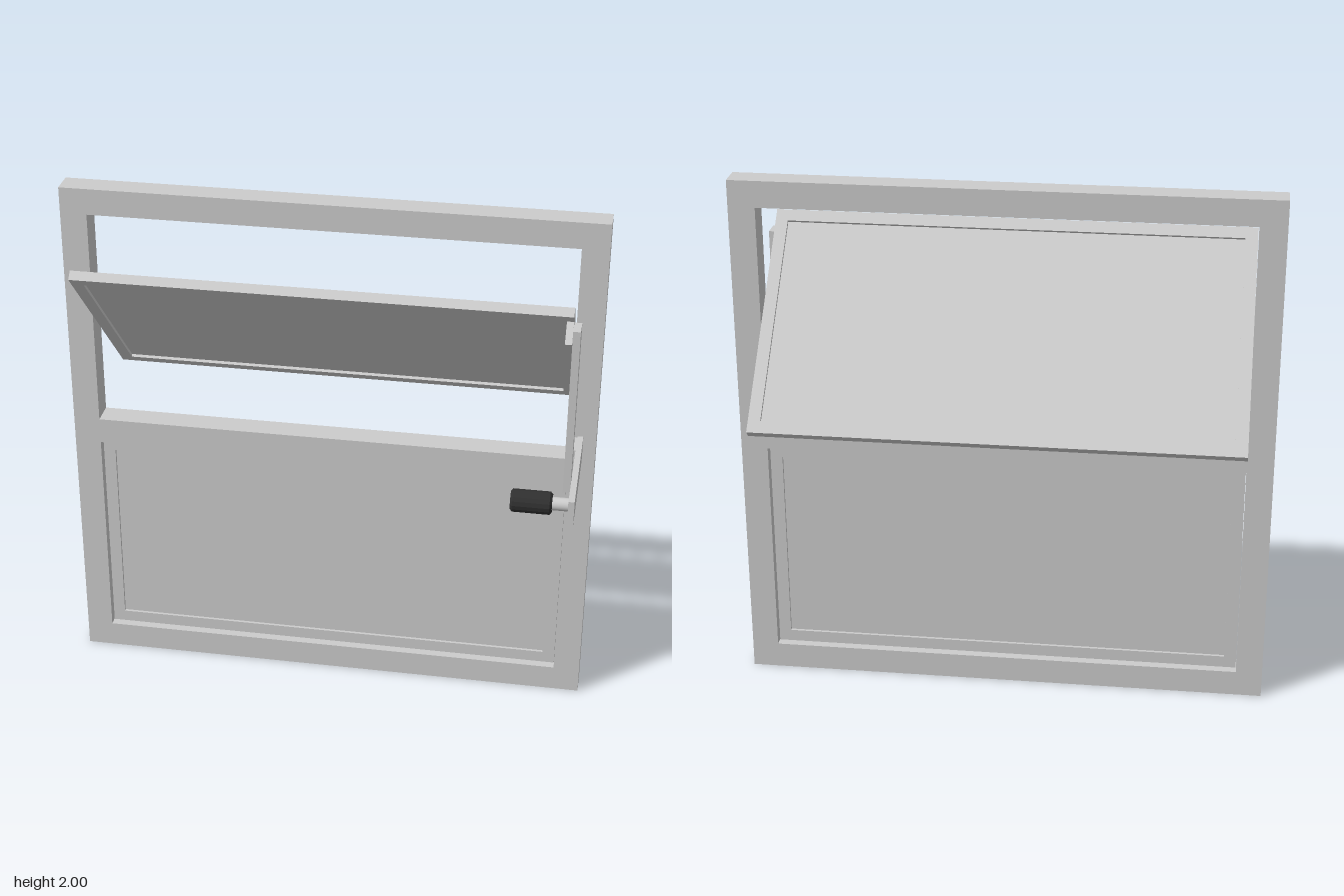
import * as THREE from 'three';

const FRAME_Z = -0.093; // middle plane of the fixed frame
const SASH_T = 0.036;

function rectHole(x0, y0, x1, y1) {
  const p = new THREE.Path();
  p.moveTo(x0, y0).lineTo(x0, y1).lineTo(x1, y1).lineTo(x1, y0).closePath();
  return p;
}

// Flat plate with rectangular openings, centred on z = 0
function framePlate(x0, y0, x1, y1, holes, depth) {
  const s = new THREE.Shape();
  s.moveTo(x0, y0).lineTo(x1, y0).lineTo(x1, y1).lineTo(x0, y1).closePath();
  s.holes = holes.map((h) => rectHole(...h));
  return new THREE.ExtrudeGeometry(s, { depth, bevelEnabled: false }).translate(0, 0, -depth / 2);
}

export function createModel() {
  const model = new THREE.Group();
  model.name = 'window';

  const grey = new THREE.MeshStandardMaterial({ color: 0xcccccc });
  grey.name = 'light grey';
  const black = new THREE.MeshStandardMaterial({ color: 0x303030, flatShading: true });
  black.name = 'black rubber';

  const add = (parent, name, geometry, material = grey) => {
    const mesh = new THREE.Mesh(geometry, material);
    mesh.name = name;
    parent.add(mesh);
    return mesh;
  };
  const box = (parent, name, size, pos) => {
    const mesh = add(parent, name, new THREE.BoxGeometry(...size));
    mesh.position.set(...pos);
    return mesh;
  };

  // Fixed outer frame with two openings
  const outer = framePlate(-1, 0, 1, 2, [[-0.9, 0.1, 0.9, 0.95], [-0.9, 1.05, 0.9, 1.9]], 0.097);
  add(model, 'outerFrame', outer).position.z = FRAME_Z;

  // A sash is a thin border with a recessed pane
  const makeSash = (name, w, h) => {
    const g = new THREE.Group();
    g.name = name;
    const b = 0.046;
    const x = w / 2, y = h / 2;
    add(g, name + 'Border', framePlate(-x, -y, x, y, [[-x + b, -y + b, x - b, y - b]], SASH_T));
    box(g, name + 'Pane', [w - 2 * b, h - 2 * b, 0.014], [0, 0, 0]);
    model.add(g);
    return g;
  };

  const lower = makeSash('lowerSash', 1.796, 0.846);
  lower.position.set(0, 0.525, FRAME_Z);

  // Tilting sash, top edge swung forward
  const upper = makeSash('tiltingSash', 1.8, 0.9);
  upper.position.set(0, 1.455, -0.108);
  upper.rotation.x = Math.PI / 4;
  box(upper, 'linkBracket', [0.025, 0.063, 0.085], [0.887, 0.373, SASH_T / 2 + 0.0425]);

  // Link from crank arm up to the sash
  const link = box(model, 'link', [0.027, 0.65, 0.072], [0.913, 1.385, 0.188]);
  link.rotation.x = 0.018;

  // Crank arm and its mounting block
  box(model, 'crankArm', [0.022, 0.1, 0.479], [0.941, 1.1, 0.1955]);
  box(model, 'crankMount', [0.034, 0.09, 0.1], [0.916, 1.1, 0.005]);

  // Handle: pin and chamfered grip lying along x
  const pin = add(model, 'handlePin', new THREE.CylinderGeometry(0.024, 0.024, 0.085, 24));
  pin.rotation.z = Math.PI / 2;
  pin.position.set(0.8925, 1.1, 0.37);

  const profile = [[0, -0.074], [0.034, -0.074], [0.042, -0.066], [0.042, 0.066], [0.034, 0.074], [0, 0.074]];
  const gripGeo = new THREE.LatheGeometry(profile.map((p) => new THREE.Vector2(...p)), 16);
  const grip = add(model, 'handleGrip', gripGeo, black);
  grip.rotation.z = Math.PI / 2;
  grip.position.set(0.798, 1.1, 0.37);

  return model;
}
